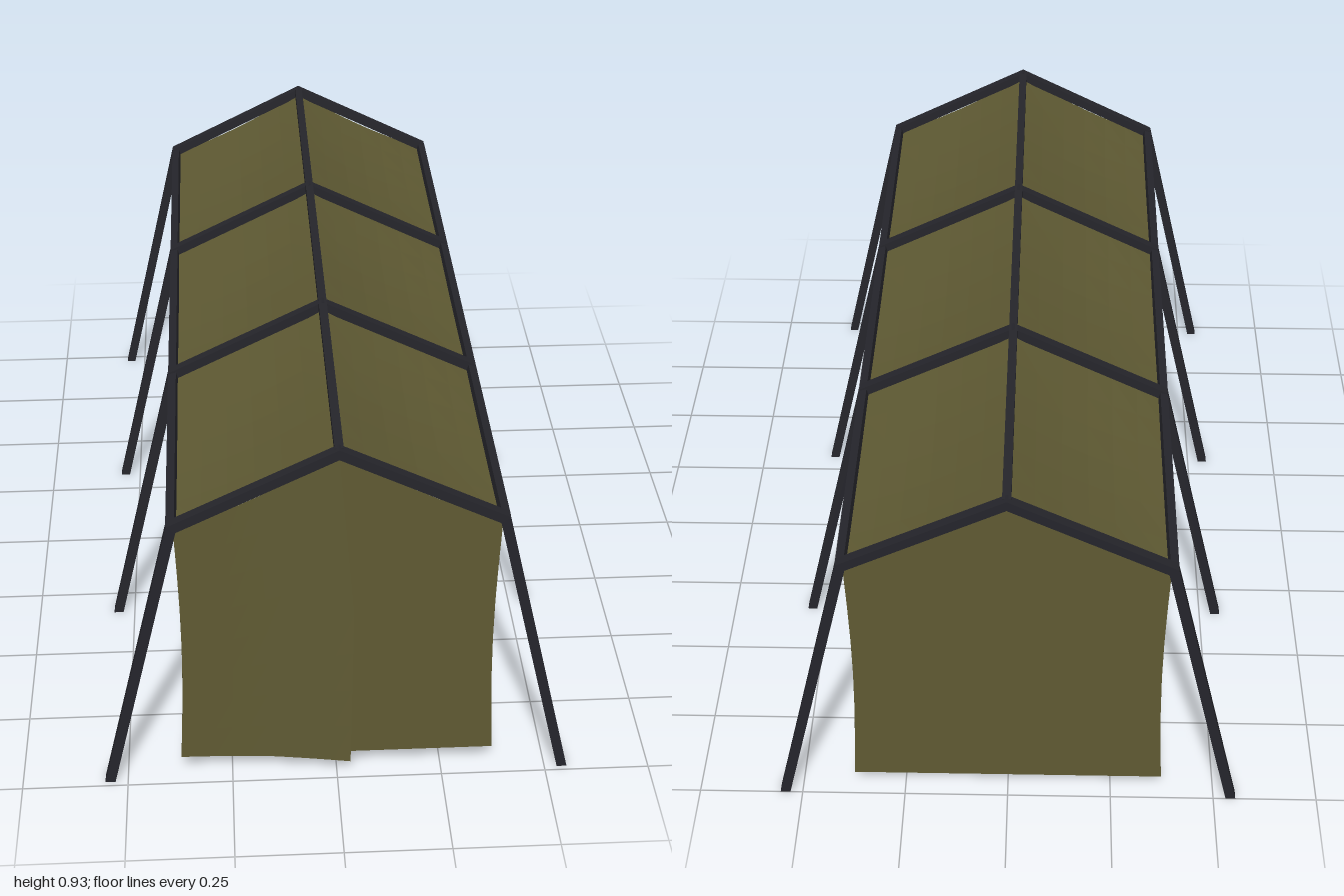
import * as THREE from 'three';

const FRAME_Z = [0.975, 0.32, -0.335, -0.987];
const Z0 = FRAME_Z[0], Z1 = FRAME_Z[3], BOTTOM = 0.06, EAVE = 0.722, RIDGE = 0.908;

const poleMat = new THREE.MeshStandardMaterial({ color: 0x25252b, flatShading: true });
const clothMat = new THREE.MeshStandardMaterial({ color: 0x5f5a33, flatShading: true, side: THREE.DoubleSide });

// Sag between neighbouring frames: 0 at a frame, 1 mid-panel
const wave = (s) => Math.abs(Math.sin(Math.PI * 3 * s));
const lerp = THREE.MathUtils.lerp;

// Half width of the cloth wall, h = 0 at the hem and 1 at the eave
const wallX = (h, w) => lerp(0.371, 0.367, h) - 0.01 * Math.sin(Math.PI * h) - 0.012 * w * (1 - 0.6 * h);
// Roof height, t = 0 at the ridge and 1 at the eave
const roofY = (t, w) => lerp(RIDGE, EAVE, t) - 0.011 * Math.sin(Math.PI * t) * (1 + 0.7 * w) - 0.01 * w * (1 - t);

// Cloth sheet from a rule (u, v) -> [x, y, z]
function sheet(name, nu, nv, rule) {
  const geo = new THREE.PlaneGeometry(1, 1, nu, nv);
  const p = geo.attributes.position;
  for (let i = 0; i < p.count; i++) p.setXYZ(i, ...rule(p.getX(i) + 0.5, p.getY(i) + 0.5));
  geo.computeVertexNormals();
  const mesh = new THREE.Mesh(geo, clothMat);
  mesh.name = name;
  return mesh;
}

// Mitred portal frame: two splayed legs and two rafters
function portalFrame(z) {
  const outline = [
    [-0.554, 0], [-0.382, 0.739], [0, 0.929], [0.382, 0.739], [0.554, 0],
    [0.53, 0], [0.361, 0.724], [0, 0.904], [-0.361, 0.724], [-0.53, 0],
  ];
  const shape = new THREE.Shape(outline.map(([x, y]) => new THREE.Vector2(x, y)));
  const geo = new THREE.ExtrudeGeometry(shape, { depth: 0.025, bevelEnabled: false });
  const mesh = new THREE.Mesh(geo, poleMat);
  mesh.name = 'portalFrame';
  mesh.position.z = z - 0.0125;
  return mesh;
}

// Beam running the length of the tent
function beam(name, x, y, roll) {
  const mesh = new THREE.Mesh(new THREE.BoxGeometry(0.02, 0.02, Z0 - Z1), poleMat);
  mesh.name = name;
  mesh.position.set(x, y, (Z0 + Z1) / 2);
  mesh.rotation.z = roll;
  return mesh;
}

// End wall between two x limits given by rules of height h (0 hem, 1 top)
function endWall(name, xa, xb, zRule, hemRule = () => BOTTOM) {
  return sheet(name, 10, 8, (u, v) => {
    // the top edge follows the roof line
    const xTop = lerp(xa(1), xb(1), u);
    const top = roofY(Math.min(1, Math.abs(xTop) / 0.367), 0);
    return [lerp(xa(v), xb(v), u), lerp(hemRule(u), top, v), zRule(u, v)];
  });
}

export function createModel() {
  const tent = new THREE.Group();
  tent.name = 'tent';

  // Pole structure
  const poles = new THREE.Group();
  poles.name = 'poles';
  FRAME_Z.forEach((z) => poles.add(portalFrame(z)));
  poles.add(beam('ridgeBeam', 0, 0.917, 0));
  for (const s of [1, -1]) poles.add(beam(s > 0 ? 'leftEaveBeam' : 'rightEaveBeam', s * 0.371, 0.729, s * -0.25));
  tent.add(poles);

  // Cloth cover
  const cover = new THREE.Group();
  cover.name = 'cover';
  for (const s of [1, -1]) {
    const side = s > 0 ? 'left' : 'right';
    const along = (u) => (s > 0 ? lerp(Z0, Z1, u) : lerp(Z1, Z0, u));
    cover.add(sheet(side + 'Wall', 18, 6, (u, v) => [s * wallX(v, wave(u)), lerp(BOTTOM, EAVE, v), along(u)]));
    cover.add(sheet(side + 'Roof', 18, 6, (u, v) => {
      const t = 1 - v, w = wave(u);
      return [s * t * wallX(1, w), roofY(t, w), along(u)];
    }));
  }

  // End walls; the front has one flap lapped over the other
  const edge = (s) => (h) => s * wallX(h, 0);
  const seam = (h) => 0.036 * Math.min(1, 2 * (1 - h)) - 0.005 * Math.max(0, 1 - 2 * h);
  cover.add(endWall('backWall', edge(1), edge(-1), () => Z1));
  cover.add(endWall('frontLeftFlap', () => 0, edge(1), () => Z0));
  cover.add(endWall('frontRightFlap', edge(-1), seam,
    (u, v) => Z0 + 0.002 * u + 0.022 * u * u * (1 - v),
    (u) => BOTTOM - 0.011 * Math.max(0, (u - 0.5) * 2)));
  tent.add(cover);
  return tent;
}
